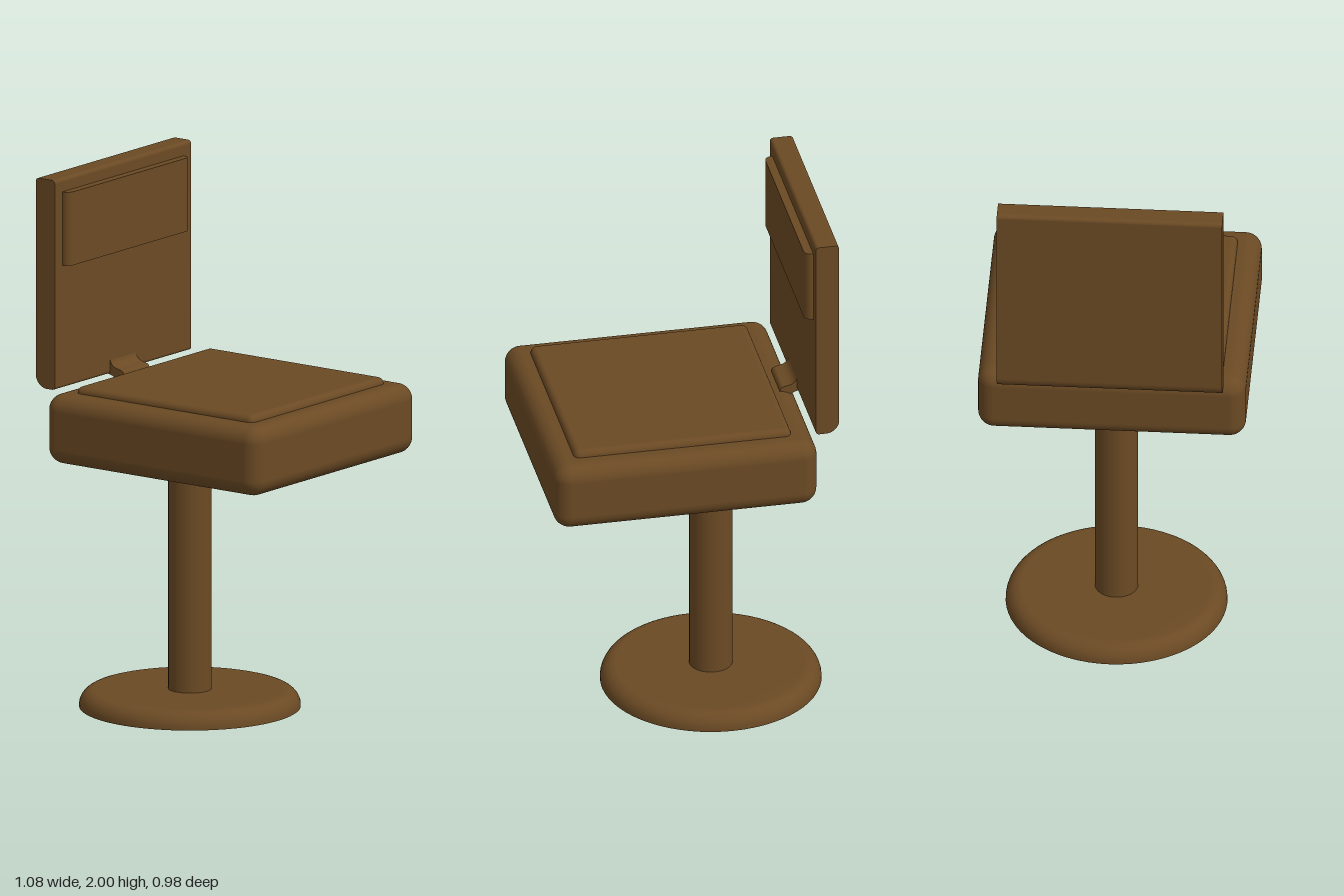
import * as THREE from 'three';
import { RoundedBoxGeometry } from 'three/addons/geometries/RoundedBoxGeometry.js';

// Rectangle with its own radius per corner: bottom left, bottom right, top right, top left
function roundedRect(x0, y0, x1, y1, [bl, br, tr, tl]) {
  const s = new THREE.Shape();
  s.moveTo(x0 + bl, y0);
  s.lineTo(x1 - br, y0);
  if (br) s.absarc(x1 - br, y0 + br, br, -Math.PI / 2, 0, false);
  s.lineTo(x1, y1 - tr);
  if (tr) s.absarc(x1 - tr, y1 - tr, tr, 0, Math.PI / 2, false);
  s.lineTo(x0 + tl, y1);
  if (tl) s.absarc(x0 + tl, y1 - tl, tl, Math.PI / 2, Math.PI, false);
  s.lineTo(x0, y0 + bl);
  if (bl) s.absarc(x0 + bl, y0 + bl, bl, Math.PI, Math.PI * 1.5, false);
  return s;
}

// Extrusion centred on its depth axis
function extrude(shape, depth) {
  return new THREE.ExtrudeGeometry(shape, { depth, bevelEnabled: false, curveSegments: 8 })
    .translate(0, 0, -depth / 2);
}

export function createModel() {
  const group = new THREE.Group();
  const brown = new THREE.MeshStandardMaterial({ color: 0x6b4a24 });
  brown.name = 'brown';

  const add = (name, geometry, x = 0, y = 0, z = 0) => {
    const mesh = new THREE.Mesh(geometry, brown);
    mesh.name = name;
    mesh.position.set(x, y, z);
    group.add(mesh);
    return mesh;
  };

  // Round foot with a rolled upper edge
  const footProfile = [new THREE.Vector2(0, 0), new THREE.Vector2(0.405, 0), new THREE.Vector2(0.405, 0.004)];
  for (let i = 0; i <= 8; i++) {
    const a = (i / 8) * Math.PI / 2;
    footProfile.push(new THREE.Vector2(0.345 + 0.06 * Math.cos(a), 0.005 + 0.06 * Math.sin(a)));
  }
  footProfile.push(new THREE.Vector2(0, 0.065));
  // Split the profile so the underside stays crisp
  add('footUnderside', new THREE.CircleGeometry(0.405, 64).rotateX(Math.PI / 2), -0.137);
  add('foot', new THREE.LatheGeometry(footProfile.slice(1), 64), -0.137);

  // Pedestal post, stopping just short of the seat
  add('post', new THREE.CylinderGeometry(0.079, 0.079, 0.885, 40), -0.137, 0.5025);

  // Padded seat and its raised cushion
  add('seat', new RoundedBoxGeometry(0.98, 0.26, 0.98, 6, 0.06), 0.05, 1.085);
  add('seatCushion', new RoundedBoxGeometry(0.81, 0.08, 0.81, 4, 0.024), 0.05, 1.2);

  // Backrest slab, rounded mostly along its outer lower edge
  add('backrest', extrude(roundedRect(-0.53, 1.215, -0.443, 2, [0.05, 0.012, 0.014, 0.014]), 0.825));

  // Head panel, with rounded vertical edges towards the seat
  const panel = extrude(roundedRect(-0.45, -0.367, -0.412, 0.367, [0, 0.028, 0.028, 0]), 0.275);
  add('headPanel', panel.rotateX(-Math.PI / 2), 0, 1.8125);

  // Curved bracket joining backrest and seat
  const hook = new THREE.Shape();
  hook.moveTo(-0.46, 1.275);
  hook.lineTo(-0.444, 1.27);
  hook.quadraticCurveTo(-0.438, 1.243, -0.41, 1.238);
  hook.lineTo(-0.39, 1.233);
  hook.quadraticCurveTo(-0.378, 1.228, -0.378, 1.205);
  hook.lineTo(-0.41, 1.198);
  hook.quadraticCurveTo(-0.44, 1.215, -0.475, 1.218);
  hook.closePath();
  add('bracket', extrude(hook, 0.155));

  return group;
}
